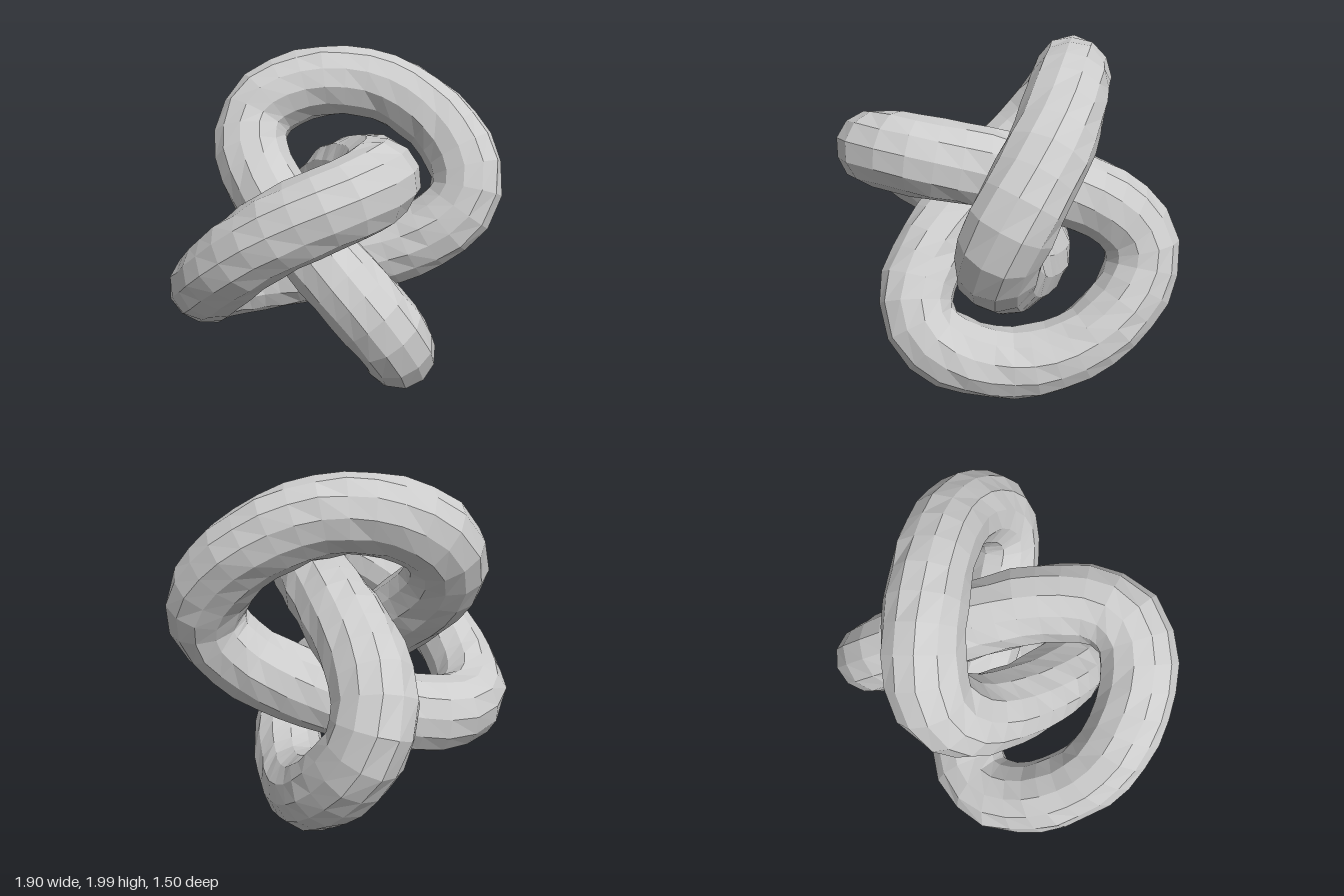
import * as THREE from 'three';

// Closed trefoil centreline: three lobes about the z axis, weaving front to back
class TrefoilCurve extends THREE.Curve {
  getPoint(u, target = new THREE.Vector3()) {
    const t = u * Math.PI * 2;
    const s = 0.295;
    return target.set(
      0.135 + s * (0.93 * Math.cos(t) - 2 * Math.cos(2 * t)),
      1 + s * (0.93 * Math.sin(t) + 2 * Math.sin(2 * t)),
      -0.515 * (Math.sin(3 * t) + 0.15 * Math.sin(6 * t))
    );
  }
}

// Repeatable value in -1..1 for a grid cell
function noise(i, j) {
  const n = Math.sin(i * 127.1 + j * 311.7) * 43758.5453;
  return (n - Math.floor(n)) * 2 - 1;
}

export function createModel() {
  const group = new THREE.Group();
  group.name = 'knot';

  const stone = new THREE.MeshStandardMaterial({ color: 0xcccccc, flatShading: true });
  stone.name = 'grey stone';

  // Faceted tube, with its vertices moved slightly in and out to look hand-hewn
  const rings = 84, sides = 12, radius = 0.213;
  const curve = new TrefoilCurve();
  const geometry = new THREE.TubeGeometry(curve, rings, radius, sides, true);
  const position = geometry.attributes.position;
  const centre = new THREE.Vector3();
  const vertex = new THREE.Vector3();
  for (let i = 0; i <= rings; i++) {
    const u = (i % rings) / rings;
    curve.getPointAt(u, centre);
    // The inner strands are a little thicker than the lobe tips
    const thickness = 1 + 0.03 * Math.cos(6 * Math.PI * curve.getUtoTmapping(u));
    for (let j = 0; j <= sides; j++) {
      const index = i * (sides + 1) + j;
      // The seam vertices share the values of the first ring and side
      const swell = thickness + 0.035 * noise(i % rings, j % sides);
      vertex.fromBufferAttribute(position, index).sub(centre).multiplyScalar(swell).add(centre);
      position.setXYZ(index, vertex.x, vertex.y, vertex.z);
    }
  }
  geometry.computeVertexNormals();

  const tube = new THREE.Mesh(geometry, stone);
  tube.name = 'knotTube';
  group.add(tube);

  // Stand the knot on the ground
  geometry.computeBoundingBox();
  tube.position.y = -geometry.boundingBox.min.y;
  return group;
}
